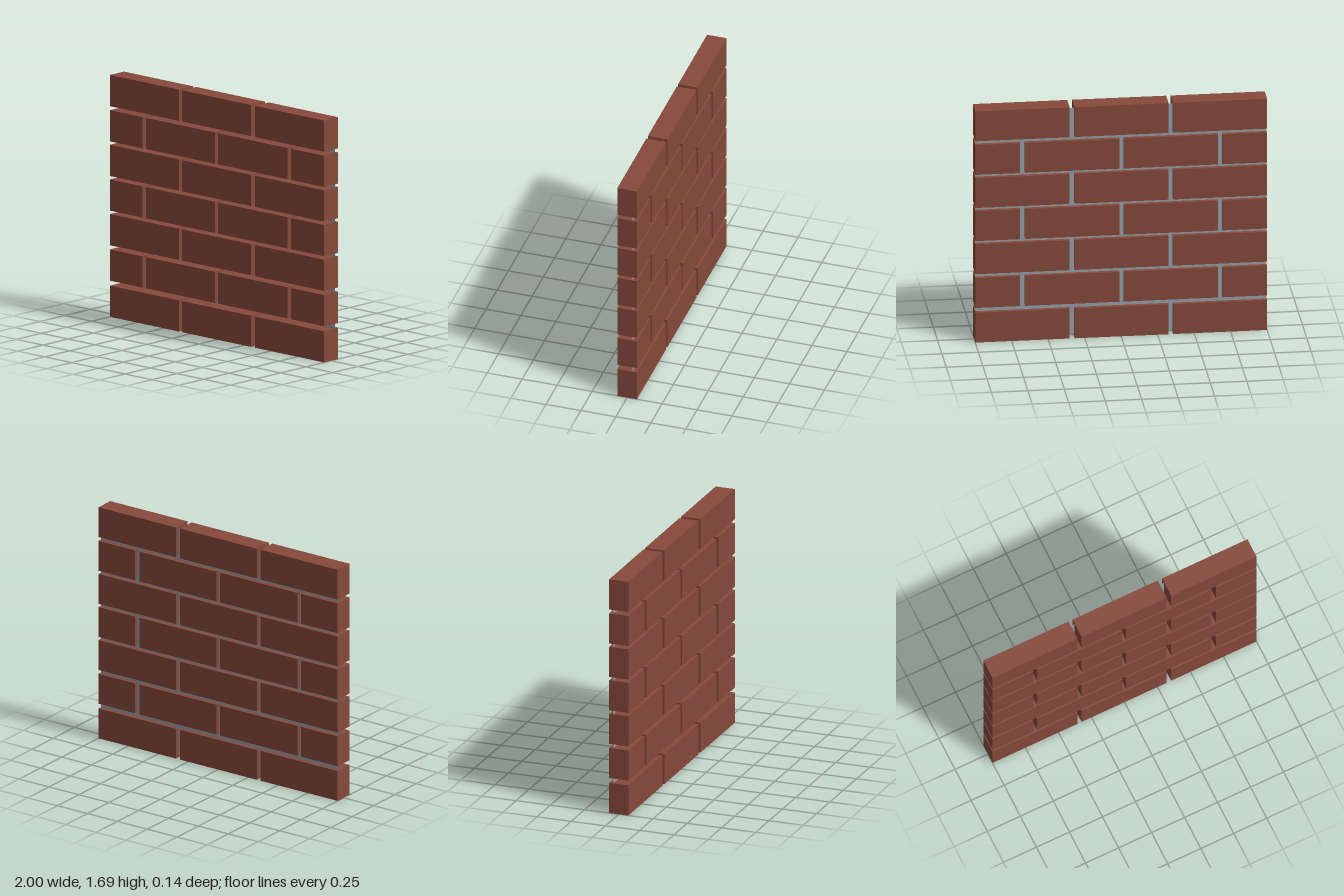
import * as THREE from 'three';

const BRICK_HEIGHT = 0.218;
const BRICK_DEPTH = 0.14;

// Bottom of each course, and the [left, right] ends of its bricks
const courseBottoms = [0, 0.253, 0.5, 0.742, 0.984, 1.226, 1.472];
const fullCourse = [[-1, -0.356], [-0.325, 0.319], [0.353, 1]];
const offsetCourse = [[-1, -0.693], [-0.663, -0.018], [0.011, 0.658], [0.693, 1]];

export function createModel() {
  const wall = new THREE.Group();
  wall.name = 'brickWall';
  const brickMaterial = new THREE.MeshStandardMaterial({ color: 0x86493b });
  const mortarMaterial = new THREE.MeshStandardMaterial({ color: 0x97a0ab, side: THREE.DoubleSide });

  // Courses in running bond
  courseBottoms.forEach((bottom, row) => {
    const course = new THREE.Group();
    course.name = `course${row + 1}`;
    for (const [x0, x1] of row % 2 ? offsetCourse : fullCourse) {
      const brick = new THREE.Mesh(new THREE.BoxGeometry(x1 - x0, BRICK_HEIGHT, BRICK_DEPTH), brickMaterial);
      brick.name = 'brick';
      brick.position.set((x0 + x1) / 2, bottom + BRICK_HEIGHT / 2, 0);
      course.add(brick);
    }
    wall.add(course);
  });

  // Thin mortar sheet set towards the back of the joints
  const mortar = new THREE.Mesh(new THREE.PlaneGeometry(2, 1.655), mortarMaterial);
  mortar.name = 'mortar';
  mortar.position.set(0, 0.8475, -0.04);
  wall.add(mortar);

  return wall;
}
